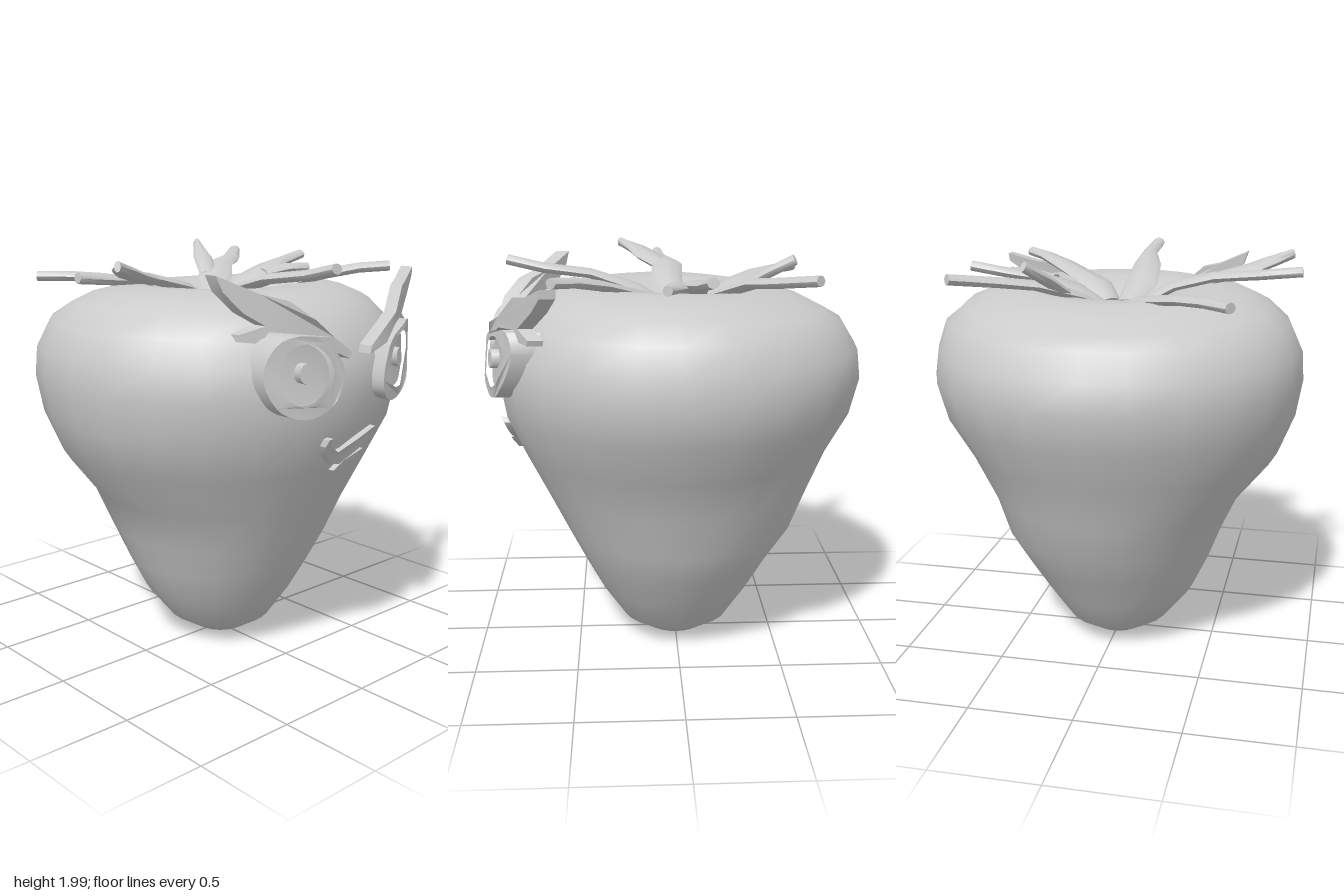
import * as THREE from 'three';
import { mergeVertices, toCreasedNormals } from 'three/addons/utils/BufferGeometryUtils.js';

const material = new THREE.MeshStandardMaterial({ color: 0xcccccc });

// Body rings: height, then reach to -x, +x, +z and -z
const ROWS = [
  [0.01, 0, 0, 0, 0], [0.03, 0.13, 0.13, 0.14, 0.14], [0.11, 0.26, 0.26, 0.27, 0.27],
  [0.27, 0.39, 0.37, 0.38, 0.38], [0.44, 0.47, 0.48, 0.47, 0.48], [0.6, 0.53, 0.57, 0.55, 0.59],
  [0.8, 0.62, 0.63, 0.65, 0.67], [1.02, 0.8, 0.74, 0.76, 0.76], [1.22, 0.88, 0.86, 0.85, 0.87],
  [1.4, 0.91, 0.91, 0.88, 0.915], [1.54, 0.9, 0.89, 0.87, 0.9], [1.67, 0.84, 0.85, 0.8, 0.82],
  [1.76, 0.74, 0.75, 0.72, 0.74], [1.81, 0.63, 0.63, 0.62, 0.63], [1.84, 0.48, 0.48, 0.5, 0.48],
  [1.83, 0.34, 0.34, 0.34, 0.34], [1.78, 0.21, 0.21, 0.21, 0.21], [1.71, 0.1, 0.1, 0.1, 0.1],
  [1.68, 0, 0, 0, 0],
];

const lerp = THREE.MathUtils.lerp;

// Piecewise linear lookup: rows sorted by their first entry
function lookup(rows, t, column) {
  let i = 1;
  while (i < rows.length - 1 && rows[i][0] < t) i++;
  const a = rows[i - 1], b = rows[i];
  return lerp(a[column], b[column], THREE.MathUtils.clamp((t - a[0]) / (b[0] - a[0]), 0, 1));
}

// Front surface of the body at x, y
function bodyZ(x, y) {
  const rx = lookup(ROWS, y, x < 0 ? 1 : 2);
  return lookup(ROWS, y, 3) * Math.sqrt(Math.max(0, 1 - (x / rx) ** 2));
}

// Skin over closed rings of equal point count
function loft(rings) {
  const n = rings[0].length, index = [];
  for (let i = 0; i < rings.length - 1; i++) {
    for (let j = 0; j < n; j++) {
      const k = (j + 1) % n, a = i * n, b = a + n;
      index.push(a + j, a + k, b + k, a + j, b + k, b + j);
    }
  }
  const geo = new THREE.BufferGeometry();
  geo.setAttribute('position', new THREE.Float32BufferAttribute(rings.flat().flatMap((p) => p.toArray()), 3));
  geo.setIndex(index);
  const merged = mergeVertices(geo, 1e-5);
  merged.computeVertexNormals();
  return merged;
}

function addMesh(parent, name, geometry) {
  const mesh = new THREE.Mesh(geometry, material);
  mesh.name = name;
  parent.add(mesh);
}

function makeBody() {
  const sides = 24;
  return loft(ROWS.map(([y, l, r, f, b]) => Array.from({ length: sides }, (_, j) => {
    const a = (j / sides) * Math.PI * 2, s = Math.sin(a), c = Math.cos(a);
    const z = c * (c > 0 ? f : b);
    // the shoulder slopes down at the back
    const drop = y > 1.7 ? 0.06 * Math.max(0, -z) : 0;
    return new THREE.Vector3(s * (s < 0 ? l : r), y - drop, z);
  })));
}

// Leaf ribbon: points of x, y, z, width
function makeLeaf(points, thickness = 0.05) {
  const pos = points.map((p) => new THREE.Vector3(p[0], p[1], p[2]));
  const rings = pos.map((c, i) => {
    const t = pos[Math.min(i + 1, pos.length - 1)].clone().sub(pos[Math.max(i - 1, 0)]).normalize();
    const side = t.clone().cross(new THREE.Vector3(0, 1, 0)).normalize();
    const up = side.clone().cross(t);
    return Array.from({ length: 8 }, (_, j) => {
      const a = (j / 8) * Math.PI * 2;
      return c.clone().addScaledVector(up, Math.cos(a) * thickness / 2)
        .addScaledVector(side, Math.sin(a) * points[i][3] / 2);
    });
  });
  // blunt end caps
  const cap = (c) => Array.from({ length: 8 }, () => c.clone());
  return toCreasedNormals(loft([cap(pos[0]), ...rings, cap(pos[pos.length - 1])]), 0.9);
}

const toShape = (pts) => new THREE.Shape(pts.map((p) => new THREE.Vector2(p[0], p[1])));

// Rounded closed outline through a few points
function smooth(pts) {
  const curve = new THREE.CatmullRomCurve3(pts.map((p) => new THREE.Vector3(p[0], p[1], 0)), true);
  return curve.getPoints(30).slice(0, -1).map((p) => [p.x, p.y]);
}

// Flat outline bent to follow surface(x, y), from -sink to +rise
function plate(outline, surface, rise, sink, hole) {
  const shape = toShape(outline);
  if (hole) shape.holes.push(toShape(hole));
  const geo = new THREE.ExtrudeGeometry(shape, { depth: 1, bevelEnabled: false });
  const p = geo.attributes.position;
  for (let i = 0; i < p.count; i++) {
    p.setZ(i, surface(p.getX(i), p.getY(i)) + lerp(-sink, rise, p.getZ(i)));
  }
  return toCreasedNormals(geo, 0.6);
}

export function createModel() {
  const model = new THREE.Group();
  model.name = 'strawberry';
  addMesh(model, 'body', makeBody());

  // Leaves spread from the hollow at the top; forked ones have a side prong
  const leaves = {
    frontLeaf: [[-0.03, 1.73, 0.06, 0.12], [-0.07, 1.81, 0.2, 0.17], [-0.06, 1.88, 0.42, 0.14],
      [-0.03, 1.91, 0.64, 0.08], [-0.05, 1.95, 0.82, 0.06]],
    frontLeftLeaf: [[0.06, 1.73, 0.08, 0.11], [0.15, 1.8, 0.19, 0.17], [0.37, 1.87, 0.36, 0.13],
      [0.5, 1.9, 0.47, 0.08], [0.61, 1.91, 0.57, 0.06]],
    leftLeaf: [[0.07, 1.73, -0.03, 0.12], [0.2, 1.81, -0.05, 0.19], [0.4, 1.87, -0.06, 0.16],
      [0.54, 1.89, -0.11, 0.08], [0.71, 1.92, -0.13, 0.06]],
    leftLeafProng: [[0.32, 1.85, -0.02, 0.1], [0.45, 1.87, 0.01, 0.12], [0.57, 1.87, 0.06, 0.05]],
    backLeftLeaf: [[0.06, 1.73, -0.1, 0.11], [0.17, 1.81, -0.23, 0.19], [0.32, 1.87, -0.36, 0.15],
      [0.48, 1.89, -0.44, 0.1], [0.66, 1.92, -0.6, 0.06]],
    backLeftLeafProng: [[0.2, 1.83, -0.3, 0.1], [0.26, 1.91, -0.42, 0.1], [0.32, 1.98, -0.54, 0.03]],
    backRightLeaf: [[-0.06, 1.73, -0.11, 0.12], [-0.17, 1.8, -0.27, 0.16], [-0.38, 1.84, -0.45, 0.13],
      [-0.5, 1.85, -0.56, 0.09], [-0.62, 1.85, -0.67, 0.06]],
    rightLeaf: [[-0.08, 1.73, -0.01, 0.11], [-0.27, 1.83, 0.03, 0.16], [-0.46, 1.88, 0.02, 0.16],
      [-0.68, 1.89, 0.06, 0.1], [-0.88, 1.91, 0.06, 0.05]],
    rightLeafProng: [[-0.45, 1.87, 0.03, 0.12], [-0.63, 1.91, 0.12, 0.15], [-0.72, 1.94, 0.18, 0.11],
      [-0.82, 1.97, 0.27, 0.03]],
  };
  for (const [name, points] of Object.entries(leaves)) addMesh(model, name, makeLeaf(points));

  // Eyes: raised rim, sunken iris plate, raised pupil
  const eyes = {
    right: {
      rim: [[-0.475, 1.5], [-0.455, 1.61], [-0.39, 1.68], [-0.25, 1.68], [-0.11, 1.55], [-0.13, 1.44],
        [-0.2, 1.355], [-0.31, 1.33], [-0.42, 1.38]],
      iris: [[-0.41, 1.54], [-0.37, 1.635], [-0.28, 1.655], [-0.19, 1.59], [-0.165, 1.51], [-0.21, 1.42],
        [-0.31, 1.385], [-0.4, 1.445]],
      pupil: [-0.3, 1.53],
    },
    left: {
      rim: [[0.165, 1.445], [0.2, 1.55], [0.25, 1.625], [0.38, 1.67], [0.5, 1.68], [0.535, 1.6],
        [0.51, 1.5], [0.445, 1.4], [0.355, 1.35], [0.25, 1.34], [0.18, 1.38]],
      iris: [[0.23, 1.5], [0.285, 1.605], [0.39, 1.645], [0.46, 1.6], [0.455, 1.5], [0.38, 1.41],
        [0.275, 1.4], [0.235, 1.435]],
      pupil: [0.325, 1.53],
    },
  };
  const eyeSurface = (x, y) => bodyZ(x, Math.min(y, 1.54));
  for (const [side, e] of Object.entries(eyes)) {
    const iris = smooth(e.iris);
    addMesh(model, side + 'EyeRim', plate(smooth(e.rim), eyeSurface, 0.065, 0.1, iris));
    addMesh(model, side + 'Iris', plate(iris, eyeSurface, 0.035, 0.06));
    const pupil = Array.from({ length: 12 }, (_, i) => {
      const a = (i / 12) * Math.PI * 2;
      return [e.pupil[0] + 0.033 * Math.cos(a), e.pupil[1] + 0.045 * Math.sin(a)];
    });
    addMesh(model, side + 'Pupil', plate(pupil, eyeSurface, 0.07, 0.02));
  }

  // Brows: slanted bars sweeping back toward their outer tips
  const browRight = [[-0.57, 1.94], [-0.545, 1.87], [-0.47, 1.78], [-0.39, 1.725], [-0.49, 1.69],
    [-0.49, 1.66], [-0.41, 1.65], [-0.38, 1.7], [-0.25, 1.68], [-0.15, 1.62], [-0.05, 1.57], [-0.04, 1.6],
    [-0.13, 1.67], [-0.22, 1.75], [-0.31, 1.83], [-0.41, 1.86]];
  const browLeft = [[0.74, 1.9], [0.735, 1.86], [0.655, 1.79], [0.52, 1.7], [0.61, 1.66], [0.6, 1.635],
    [0.52, 1.64], [0.49, 1.69], [0.35, 1.68], [0.22, 1.61], [0.085, 1.575], [0.095, 1.61], [0.2, 1.68],
    [0.35, 1.73], [0.49, 1.835], [0.6, 1.85]];
  const sweepRight = [[-0.59, 0.6], [-0.39, 0.73], [-0.22, 0.86], [-0.04, 0.91]];
  const sweepLeft = [[0.08, 0.91], [0.22, 0.89], [0.4, 0.81], [0.55, 0.71], [0.74, 0.61]];
  addMesh(model, 'rightBrow', plate(browRight.reverse(), (x) => lookup(sweepRight, x, 1), 0, 0.07));
  addMesh(model, 'leftBrow', plate(browLeft.reverse(), (x) => lookup(sweepLeft, x, 1), 0, 0.07));

  // Crooked smile with a small lower lip
  const smile = [[-0.12, 1.205], [-0.1, 1.21], [-0.09, 1.165], [-0.03, 1.13], [0.09, 1.18], [0.2, 1.22],
    [0.22, 1.195], [0.205, 1.165], [0.11, 1.11], [0.01, 1.06], [-0.055, 1.075], [-0.1, 1.125], [-0.125, 1.17]];
  const lip = [[-0.01, 1.03], [0.025, 1.02], [0.15, 1.09], [0.17, 1.11], [0.04, 1.075]];
  addMesh(model, 'smile', plate(smile, bodyZ, 0.03, 0.04));
  addMesh(model, 'lowerLip', plate(lip, bodyZ, 0.03, 0.04));
  return model;
}
